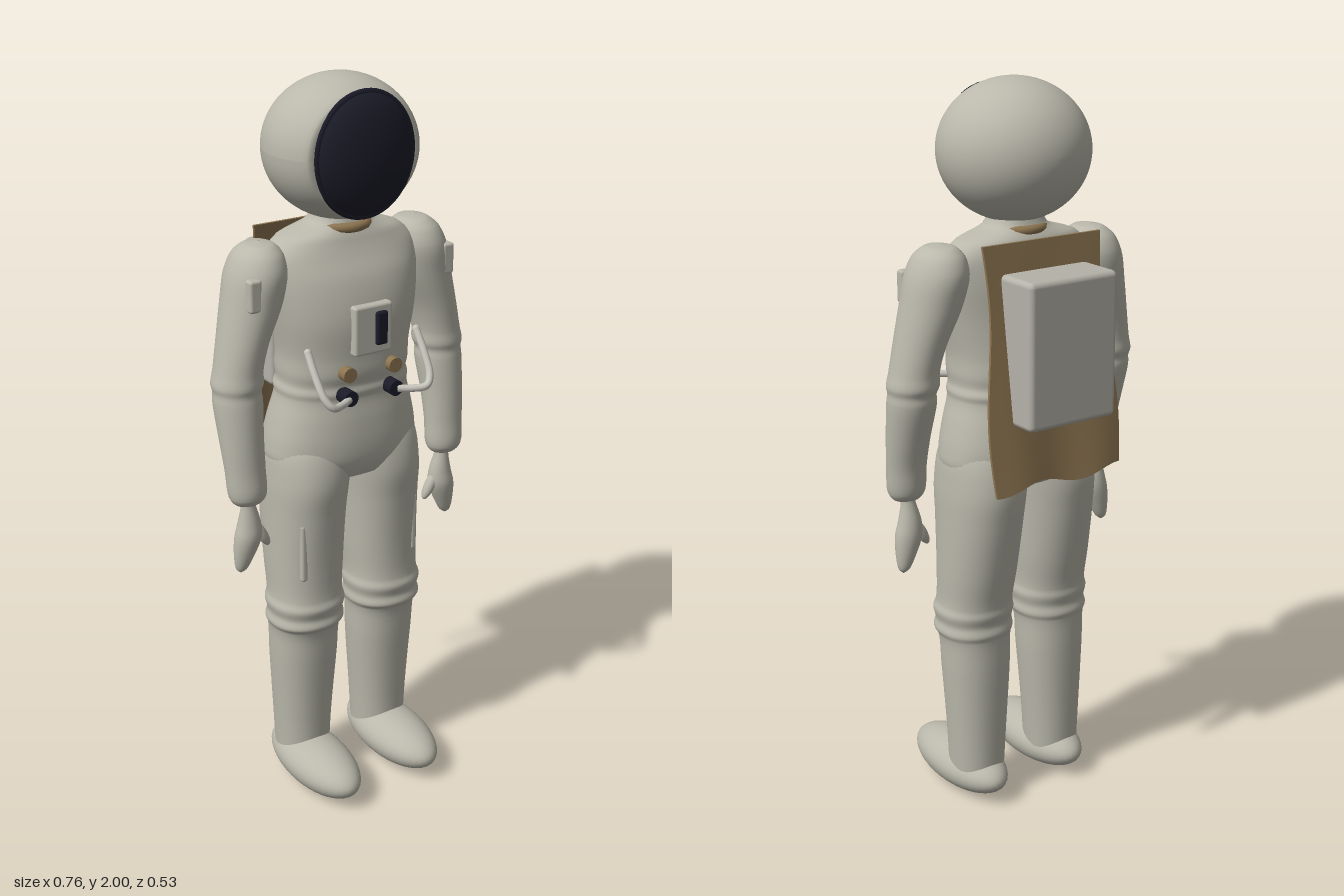
import * as THREE from 'three';
import { RoundedBoxGeometry } from 'three/addons/geometries/RoundedBoxGeometry.js';

const material = (name, color) => {
  const m = new THREE.MeshStandardMaterial({ color });
  m.name = name;
  return m;
};

// Smooth closed skin through elliptical sections [cx, y, cz, rx, rz], bottom to top.
function loft(sections, side = 1, power = 2, seg = 40, steps = 5) {
  const centers = new THREE.CatmullRomCurve3(
    sections.map(([x, y, z]) => new THREE.Vector3(x * side, y, z)), false, 'centripetal');
  const radii = new THREE.CatmullRomCurve3(
    sections.map(([, y, , a, b]) => new THREE.Vector3(a, y, b)), false, 'centripetal');
  const rows = (sections.length - 1) * steps;
  const pos = [], index = [];
  const bend = (v) => Math.sign(v) * Math.pow(Math.abs(v), 2 / power);
  for (let i = 0; i <= rows; i++) {
    const c = centers.getPoint(i / rows), r = radii.getPoint(i / rows);
    for (let j = 0; j < seg; j++) {
      const a = (j / seg) * Math.PI * 2;
      pos.push(c.x + r.x * bend(Math.cos(a)), c.y, c.z + r.z * bend(Math.sin(a)));
      if (i === rows) continue;
      const p = i * seg + j, q = i * seg + (j + 1) % seg;
      index.push(p, p + seg, q, q, p + seg, q + seg);
    }
  }
  const g = new THREE.BufferGeometry();
  g.setAttribute('position', new THREE.Float32BufferAttribute(pos, 3));
  g.setIndex(index);
  g.computeVertexNormals();
  return g;
}

export function createModel() {
  const model = new THREE.Group();
  model.name = 'astronaut';
  const suit = material('suit fabric', 0xbab8ab);
  const shell = material('pack shell', 0xb5b2a9);
  const dark = material('dark glass', 0x1b1b28);
  const tan = material('tan cloth', 0x8c7450);
  const hose = material('pale hose', 0xc6c4bb);

  const add = (name, geometry, mat, x = 0, y = 0, z = 0) => {
    const m = new THREE.Mesh(geometry, mat);
    m.name = name;
    m.position.set(x, y, z);
    model.add(m);
    return m;
  };
  const ellipsoid = (rx, ry, rz) => new THREE.SphereGeometry(1, 40, 28).scale(rx, ry, rz);
  const box = (w, h, d, r) => new RoundedBoxGeometry(w, h, d, 3, r);

  // Torso from crotch to neck
  add('torso', loft([
    [0, 0.92, -0.01, 0.03, 0.04], [0, 0.95, -0.01, 0.16, 0.115], [0, 1.0, -0.01, 0.218, 0.14],
    [0, 1.05, -0.01, 0.218, 0.145], [0, 1.12, -0.006, 0.203, 0.138], [0, 1.18, -0.002, 0.187, 0.128],
    [0, 1.2, -0.002, 0.188, 0.132], [0, 1.22, 0, 0.182, 0.128], [0, 1.25, 0.002, 0.184, 0.134],
    [0, 1.3, 0.005, 0.184, 0.133], [0, 1.4, 0.01, 0.2, 0.132], [0, 1.5, 0, 0.215, 0.12],
    [0, 1.56, -0.01, 0.215, 0.1], [0, 1.6, -0.015, 0.175, 0.088], [0, 1.63, -0.012, 0.085, 0.072],
    [0, 1.67, -0.01, 0.065, 0.062]], 1, 2.3, 56), suit);

  // Helmet with its front cut flat for the visor
  const helmet = new THREE.SphereGeometry(1, 64, 48).rotateX(Math.PI / 2).scale(0.2, 0.183, 0.2);
  const hp = helmet.attributes.position;
  for (let i = 0; i < hp.count; i++) hp.setZ(i, Math.min(hp.getZ(i), 0.115));
  helmet.computeVertexNormals();
  add('helmet', helmet, suit, 0, 1.817, -0.005);
  const dome = new THREE.SphereGeometry(1, 48, 16, 0, Math.PI * 2, 0, Math.PI / 2)
    .rotateX(Math.PI / 2).scale(0.14, 0.155, 0.058);
  add('visor', dome, dark, 0, 1.815, 0.107);
  add('visorRim', new THREE.TorusGeometry(0.14, 0.008, 10, 56).scale(1, 1.1, 1), dark, 0, 1.815, 0.109);

  // Neck collar
  add('collar', new THREE.TorusGeometry(0.07, 0.013, 10, 40).rotateX(Math.PI / 2).scale(1, 1, 1.08),
    tan, 0, 1.622, -0.01);

  for (const s of [1, -1]) {
    const side = s > 0 ? 'left' : 'right';

    // Leg with a padded double ridge at the knee
    add(side + 'Leg', loft([
      [0.13, 0.07, -0.005, 0.074, 0.078], [0.129, 0.2, -0.005, 0.081, 0.081],
      [0.127, 0.4, 0, 0.094, 0.09], [0.127, 0.5, 0.005, 0.099, 0.095],
      [0.127, 0.52, 0.01, 0.107, 0.105], [0.126, 0.545, 0.01, 0.103, 0.1],
      [0.126, 0.575, 0.01, 0.108, 0.107], [0.125, 0.6, 0.007, 0.102, 0.103],
      [0.122, 0.7, -0.003, 0.105, 0.112], [0.118, 0.85, -0.01, 0.109, 0.13],
      [0.113, 0.95, -0.01, 0.112, 0.14], [0.1, 1.05, -0.01, 0.11, 0.12],
      [0.09, 1.11, -0.01, 0.06, 0.07]], s, 2.2), suit);
    add(side + 'Boot', ellipsoid(0.09, 0.07, 0.195), suit, s * 0.132, 0.07, 0.07);
    add(side + 'LegPocket', box(0.02, 0.17, 0.03, 0.008), suit, s * 0.178, 0.755, 0.086);

    // Arm with a ridge at the elbow
    add(side + 'Arm', loft([
      [0.315, 0.918, 0.04, 0.002, 0.002], [0.315, 0.924, 0.04, 0.036, 0.03],
      [0.315, 0.945, 0.04, 0.051, 0.045], [0.317, 1.02, 0.033, 0.055, 0.048],
      [0.318, 1.1, 0.02, 0.059, 0.056], [0.316, 1.2, 0.002, 0.065, 0.066],
      [0.316, 1.225, 0, 0.063, 0.065], [0.314, 1.245, -0.002, 0.068, 0.071],
      [0.31, 1.28, -0.003, 0.064, 0.07], [0.294, 1.35, -0.006, 0.066, 0.076],
      [0.262, 1.45, -0.012, 0.078, 0.088], [0.244, 1.53, -0.015, 0.078, 0.093],
      [0.238, 1.575, -0.016, 0.062, 0.075], [0.235, 1.598, -0.016, 0.035, 0.045],
      [0.235, 1.603, -0.016, 0.002, 0.002]], s), suit);
    add(side + 'ShoulderTag', box(0.036, 0.085, 0.03, 0.008), suit, s * 0.293, 1.49, 0.058);

    // Mitten hand
    add(side + 'Hand', loft([
      [0.336, 0.717, 0.03, 0.002, 0.002], [0.334, 0.728, 0.03, 0.015, 0.014],
      [0.326, 0.765, 0.032, 0.028, 0.025], [0.314, 0.82, 0.035, 0.038, 0.033],
      [0.31, 0.86, 0.035, 0.032, 0.029], [0.312, 0.91, 0.037, 0.02, 0.02],
      [0.314, 0.93, 0.038, 0.018, 0.018]], s, 2, 24), suit);
    add(side + 'Thumb', ellipsoid(0.015, 0.045, 0.016), suit, s * 0.275, 0.82, 0.037).rotation.z = -0.5 * s;

    // Chest knob, connector and air hose
    add(side + 'Knob', new THREE.CylinderGeometry(0.02, 0.02, 0.04, 24).rotateX(Math.PI / 2),
      tan, s * 0.07, 1.263, 0.135);
    add(side + 'Connector', new THREE.CylinderGeometry(0.021, 0.021, 0.05, 24).rotateX(Math.PI / 2),
      dark, s * 0.07, 1.2, 0.135);
    const path = new THREE.CatmullRomCurve3([
      [0.167, 1.33, 0.105], [0.168, 1.28, 0.14], [0.162, 1.225, 0.178], [0.145, 1.203, 0.19],
      [0.11, 1.197, 0.175], [0.075, 1.198, 0.155]].map(([x, y, z]) => new THREE.Vector3(s * x, y, z)));
    add(side + 'Hose', new THREE.TubeGeometry(path, 40, 0.01, 12), hose);
    add(side + 'HoseEnd', ellipsoid(0.01, 0.01, 0.01), hose, s * 0.167, 1.33, 0.105);
  }

  // Chest control panel
  add('chestPanel', box(0.115, 0.133, 0.04, 0.008), suit, 0, 1.375, 0.137);
  add('panelScreen', box(0.034, 0.09, 0.016, 0.007), dark, 0.02, 1.378, 0.16);

  // Backpack
  add('backpack', box(0.274, 0.385, 0.14, 0.015), shell, 0, 1.342, -0.2);

  // Cloth hanging behind the back, with curved sides and a wavy hem
  const cloth = new THREE.BoxGeometry(2, 1, 0.008, 24, 24, 1);
  const cp = cloth.attributes.position;
  for (let i = 0; i < cp.count; i++) {
    const u = cp.getX(i), t = 0.5 - cp.getY(i);
    const half = 0.184 + 0.014 * t - 0.012 * Math.sin(t * Math.PI * 2);
    const y = 1.608 - 0.625 * t + 0.012 * t * Math.sin(u * 5);
    const z = -0.128 - 0.083 * t + 0.006 * t * Math.cos(u * 5);
    cp.setXYZ(i, u * half, y, z + cp.getZ(i));
  }
  cloth.computeVertexNormals();
  add('backCloth', cloth, tan);

  return model;
}
